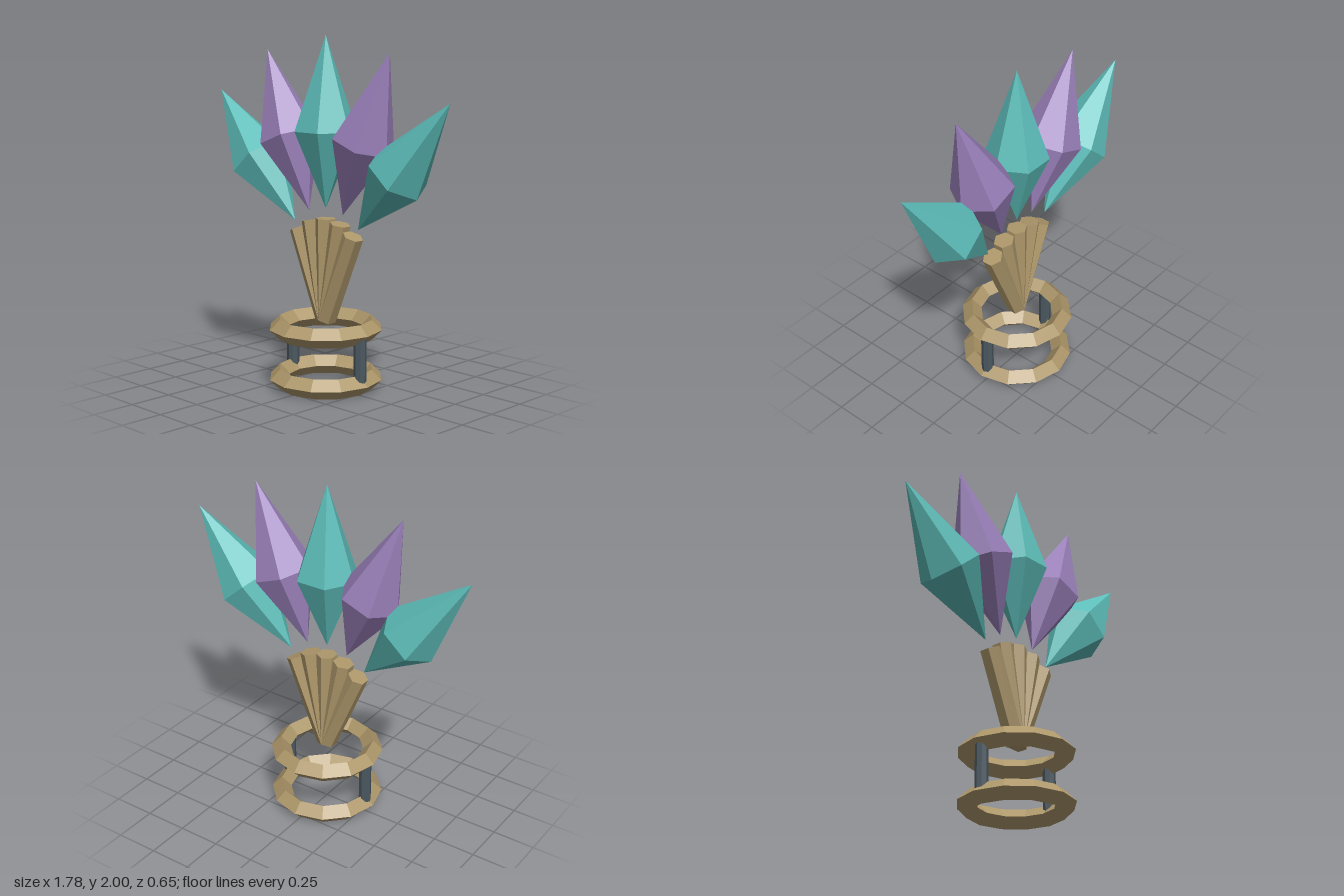
import * as THREE from 'three';

const mat = (color) => new THREE.MeshStandardMaterial({ color, flatShading: true });

export function createModel() {
  const model = new THREE.Group();
  const wood = mat(0xad976a);
  const metal = mat(0x4a5860);
  const teal = mat(0x5cbcb8);
  const purple = mat(0x9a80ba);

  const add = (name, geometry, material, x, y, tilt = 0) => {
    const mesh = new THREE.Mesh(geometry, material);
    mesh.name = name;
    mesh.position.set(x, y, 0);
    mesh.rotation.z = tilt;
    model.add(mesh);
    return mesh;
  };

  // Two diamond-section rings
  const ringRadius = 0.27, lowerY = 0.057, upperY = 0.347;
  const ring = new THREE.TorusGeometry(ringRadius, 0.057, 4, 12).rotateX(Math.PI / 2);
  add('lowerRing', ring, wood, 0, lowerY);
  add('upperRing', ring, wood, 0, upperY);

  // Posts joining the rings
  const post = new THREE.CylinderGeometry(0.036, 0.036, upperY - lowerY, 8);
  for (const side of [-1, 1]) {
    add(side > 0 ? 'leftPost' : 'rightPost', post, metal, side * ringRadius, (lowerY + upperY) / 2);
  }

  // Hexagonal crystal with its lower point at the fan radius from the origin
  const start = 0.377;
  const crystal = new THREE.LatheGeometry([
    new THREE.Vector2(0, start),
    new THREE.Vector2(0.18, start + 0.435),
    new THREE.Vector2(0, start + 0.967),
  ], 6, Math.PI / 6);

  // Fan of five sticks and five crystals
  const stickLengths = [0.58, 0.571, 0.545];
  for (let i = -2; i <= 2; i++) {
    const length = stickLengths[Math.abs(i)];
    const stick = new THREE.CylinderGeometry(0.06, 0.06, length, 6).translate(0, length / 2, 0);
    add('stick' + (i + 3), stick, wood, 0, 0.395, -i * 0.2);
    add('crystal' + (i + 3), crystal, i % 2 ? purple : teal, 0, 0.655, -i * 0.361);
  }
  return model;
}
